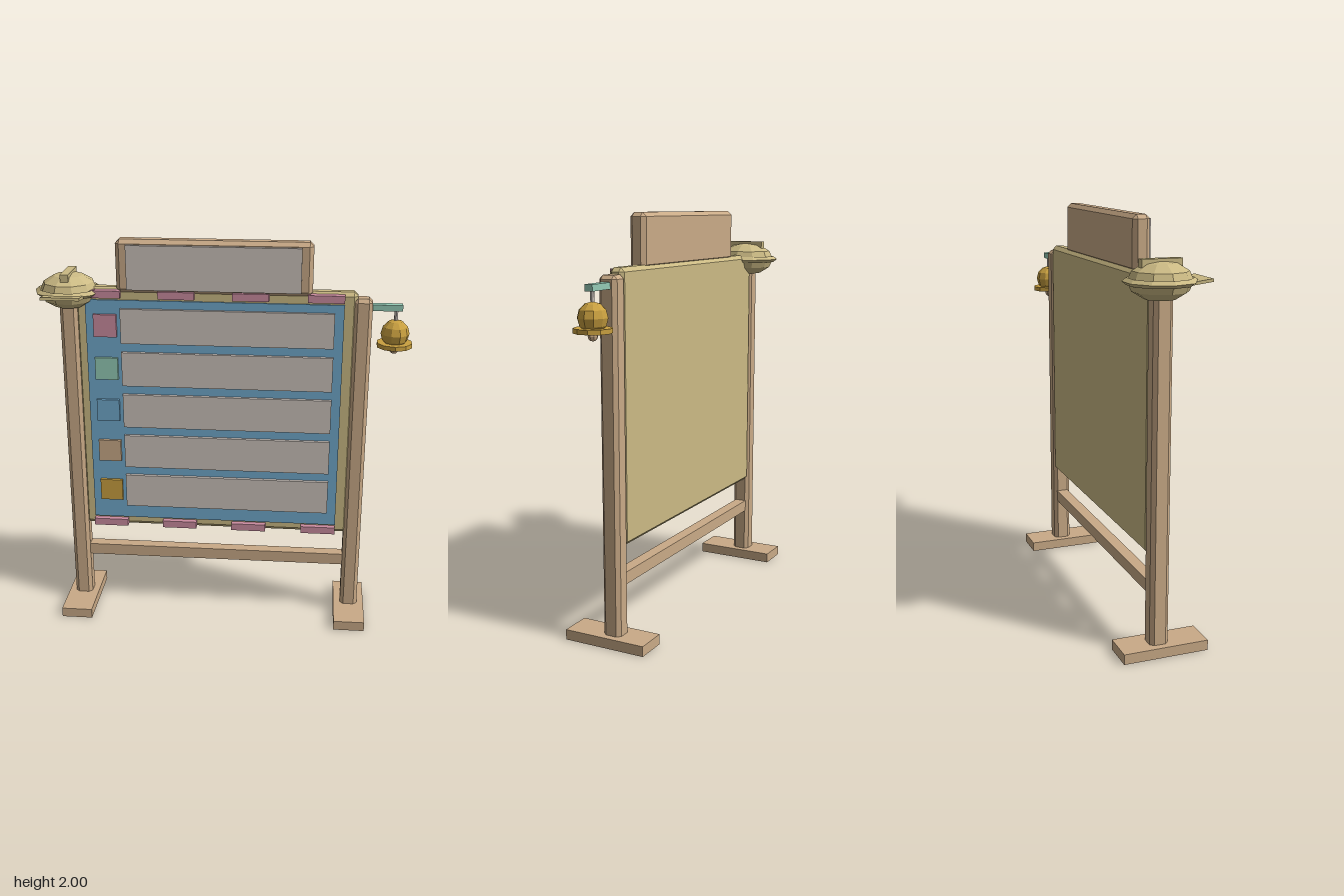
import * as THREE from 'three';
import { ConvexGeometry } from 'three/addons/geometries/ConvexGeometry.js';

function material(name, color) {
  const m = new THREE.MeshStandardMaterial({ color, flatShading: true });
  m.name = name;
  return m;
}

// Box given by its min and max on each axis
function boxGeometry(x0, x1, y0, y1, z0, z1) {
  return new THREE.BoxGeometry(x1 - x0, y1 - y0, z1 - z0)
    .translate((x0 + x1) / 2, (y0 + y1) / 2, (z0 + z1) / 2);
}

// Same box with every edge cut by a flat chamfer c
function chamferGeometry(x0, x1, y0, y1, z0, z1, c) {
  const h = [(x1 - x0) / 2, (y1 - y0) / 2, (z1 - z0) / 2];
  const points = [];
  for (const sx of [-1, 1]) for (const sy of [-1, 1]) for (const sz of [-1, 1]) {
    for (let axis = 0; axis < 3; axis++) {
      const [x, y, z] = h.map((v, i) => (i === axis ? v : v - c));
      points.push(new THREE.Vector3(sx * x, sy * y, sz * z));
    }
  }
  return new ConvexGeometry(points)
    .translate((x0 + x1) / 2, (y0 + y1) / 2, (z0 + z1) / 2);
}

export function createModel() {
  const wood = material('wood', 0xc9aa87);
  const khaki = material('khaki', 0xcbba84);
  const blue = material('blue', 0x70a8cb);
  const pink = material('pink', 0xcb8ca0);
  const mint = material('mint', 0x94cab5);
  const gold = material('gold', 0xc9a040);
  const cream = material('cream', 0xcac1ba);

  const model = new THREE.Group();
  model.name = 'noticeBoard';
  const add = (name, geometry, mat, parent = model) => {
    const mesh = new THREE.Mesh(geometry, mat);
    mesh.name = name;
    parent.add(mesh);
    return mesh;
  };

  // Posts, feet and crossbar
  for (const [side, x] of [['right', -0.765], ['left', 0.68]]) {
    add(side + 'Post', chamferGeometry(x - 0.045, x + 0.045, 0.03, 1.73, -0.065, 0.027, 0.018), wood);
    add(side + 'Foot', boxGeometry(x - 0.08, x + 0.08, 0, 0.05, -0.21, 0.21), wood);
  }
  add('crossbar', boxGeometry(-0.74, 0.66, 0.28, 0.34, -0.05, 0.01), wood);

  // Board with its blue sheet
  add('board', chamferGeometry(-0.735, 0.655, 0.47, 1.76, -0.06, 0.015, 0.02), khaki);
  add('blueSheet', boxGeometry(-0.68, 0.59, 0.52, 1.7, 0.005, 0.024), blue);

  // Pink tabs along the top and bottom edges
  for (const y of [0.475, 1.713]) {
    for (let i = 0; i < 4; i++) {
      const x = -0.68 + i * 0.364;
      add('edgeTab', boxGeometry(x, x + 0.178, y, y + 0.037, 0, 0.044), pink);
    }
  }

  // Five rows, each with a coloured chip and a long blank strip
  [gold, wood, blue, mint, pink].forEach((mat, i) => {
    const y = 0.682 + i * 0.2225;
    add('rowChip', boxGeometry(-0.64, -0.525, y - 0.057, y + 0.057, 0.02, 0.04), mat);
    add('rowStrip', boxGeometry(-0.505, 0.545, y - 0.088, y + 0.088, 0.02, 0.042), cream);
  });

  // Header sign
  add('headerFrame', chamferGeometry(-0.52, 0.435, 1.74, 2, -0.047, 0.037, 0.02), wood);
  add('headerPanel', boxGeometry(-0.465, 0.38, 1.76, 1.977, 0.03, 0.057), cream);

  // Helmet resting on the right post
  const helmet = new THREE.Group();
  helmet.name = 'helmet';
  helmet.position.set(-0.765, 1.735, -0.022);
  model.add(helmet);
  add('helmetShell', new THREE.SphereGeometry(0.145, 10, 6).scale(1, 0.61, 1), khaki, helmet);
  add('helmetRim', new THREE.TorusGeometry(0.148, 0.02, 4, 10).rotateX(Math.PI / 2).scale(1, 0.8, 1), khaki, helmet);
  add('helmetRidge', boxGeometry(-0.02, 0.02, 0.06, 0.097, -0.095, 0.095), khaki, helmet);
  const visor = add('helmetVisor', boxGeometry(-0.095, 0.095, -0.007, 0.007, -0.06, 0.06), khaki, helmet);
  visor.position.set(0, -0.002, 0.147);
  visor.rotation.x = -0.12;

  // Bell hanging from a bracket on the left post
  add('bellBracket', boxGeometry(0.715, 0.87, 1.67, 1.7, -0.04, 0), mint);
  const bell = new THREE.Group();
  bell.name = 'bell';
  bell.position.set(0.84, 0, -0.02);
  model.add(bell);
  add('bellRod', new THREE.CylinderGeometry(0.01, 0.01, 0.08, 6).translate(0, 1.64, 0), cream, bell);
  add('bellDome', new THREE.SphereGeometry(0.07, 10, 6).translate(0, 1.555, 0), gold, bell);
  add('bellLip', new THREE.CylinderGeometry(0.088, 0.088, 0.022, 10).translate(0, 1.5, 0), gold, bell);
  add('bellClapper', new THREE.SphereGeometry(0.023, 8, 6).translate(0, 1.475, 0), wood, bell);

  return model;
}
